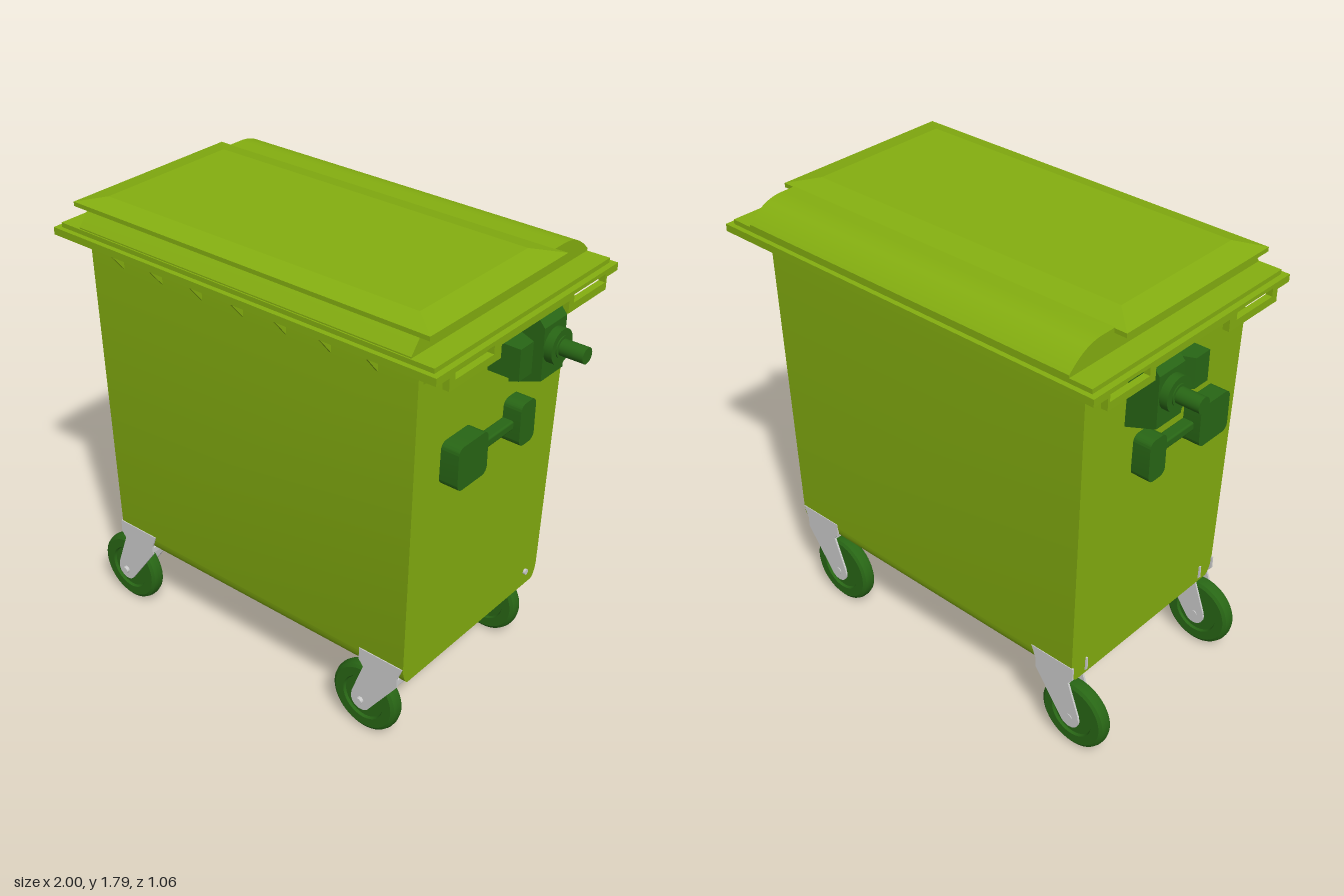
import * as THREE from 'three';
import { RoundedBoxGeometry } from 'three/addons/geometries/RoundedBoxGeometry.js';
import { toCreasedNormals } from 'three/addons/utils/BufferGeometryUtils.js';

const lime = new THREE.MeshStandardMaterial({ color: 0x84ae10 });
const green = new THREE.MeshStandardMaterial({ color: 0x286615 });
const grey = new THREE.MeshStandardMaterial({ color: 0xcccccc });

function add(parent, name, geometry, material, x = 0, y = 0, z = 0) {
  const mesh = new THREE.Mesh(geometry, material);
  mesh.name = name;
  mesh.position.set(x, y, z);
  parent.add(mesh);
  return mesh;
}

// Box given by its minimum and maximum corners
function addBox(parent, name, material, [x0, y0, z0], [x1, y1, z1]) {
  const g = new THREE.BoxGeometry(x1 - x0, y1 - y0, z1 - z0);
  return add(parent, name, g, material, (x0 + x1) / 2, (y0 + y1) / 2, (z0 + z1) / 2);
}

const toShape = (pts) => new THREE.Shape(pts.map(([a, b]) => new THREE.Vector2(a, b)));
const flat = (shape, depth) =>
  new THREE.ExtrudeGeometry(shape, { depth, bevelEnabled: false, curveSegments: 16 }).translate(0, 0, -depth / 2);
// Side profile in (z, y), extruded across x and centred on x = 0
const sideways = (shape, width) => flat(shape, width).rotateY(-Math.PI / 2);

const halfWidth = (y) => 0.717 + 0.033 * (y - 0.32) / 1.34;
const frontZ = (y) => 0.45 + 0.01 * (y - 0.38) / 1.28;
const backZ = (y) => -0.405 - 0.02 * (y - 0.38) / 1.28;

function buildBody(root) {
  // Tapered tub with rounded lower edges
  const s = new THREE.Shape();
  s.moveTo(-0.375, 0.315);
  s.lineTo(0.42, 0.315);
  s.quadraticCurveTo(0.44, 0.325, 0.45, 0.38);
  s.lineTo(frontZ(1.66), 1.66);
  s.lineTo(backZ(1.66), 1.66);
  s.lineTo(-0.405, 0.38);
  s.quadraticCurveTo(-0.4, 0.325, -0.375, 0.315);
  let g = sideways(s, 2);
  const p = g.attributes.position;
  for (let i = 0; i < p.count; i++) p.setX(i, p.getX(i) * halfWidth(p.getY(i)));
  add(root, 'body', toCreasedNormals(g, 0.6), lime);
  // Drain bolt
  add(root, 'drainBolt', new THREE.CylinderGeometry(0.012, 0.012, 0.012, 12).rotateZ(Math.PI / 2), grey, 0.722, 0.38, -0.325);
}

function buildRim(root) {
  const rim = new THREE.Group();
  rim.name = 'rim';
  root.add(rim);
  addBox(rim, 'rimPlate', lime, [-0.865, 1.658, -0.53], [0.865, 1.672, 0.53]);
  addBox(rim, 'rimStep', lime, [-0.842, 1.672, -0.51], [0.842, 1.69, 0.51]);
  for (const s of [-1, 1]) addBox(rim, 'rimSkirt', lime, [-0.84, 1.643, s * 0.522 - 0.008], [0.84, 1.66, s * 0.522 + 0.008]);

  // Side skirts with slotted hand grips
  const skirt = toShape([[-0.53, 1.643], [-0.46, 1.643], [-0.46, 1.595], [-0.22, 1.595], [-0.22, 1.643],
    [0.18, 1.643], [0.18, 1.595], [0.46, 1.595], [0.46, 1.643], [0.53, 1.643], [0.53, 1.672], [-0.53, 1.672]]);
  for (const [a, b] of [[-0.45, -0.25], [0.22, 0.43]]) {
    skirt.holes.push(new THREE.Path([[a, 1.625], [a, 1.657], [b, 1.657], [b, 1.625]].map((q) => new THREE.Vector2(...q))));
  }
  for (const s of [-1, 1]) add(rim, 'handGrip', sideways(skirt, 0.026), lime, s * 0.852);

  // Triangular ribs under the rim, front, back and sides
  const rib = (d) => flat(toShape([[-0.01, 1.56], [0, 1.565], [d, 1.645], [d, 1.66], [-0.01, 1.66]]), 0.008);
  for (let i = -3; i <= 3; i++) {
    add(rim, 'frontRib', rib(0.065).rotateY(-Math.PI / 2), lime, i * 0.194, 0, 0.459);
    add(rim, 'backRib', rib(0.095).rotateY(Math.PI / 2), lime, i * 0.194, 0, -0.423);
  }
  for (const z of [0.43, 0.21, -0.235, -0.4]) {
    add(rim, 'leftRib', rib(0.09), lime, 0.748, 0, z);
    add(rim, 'rightRib', rib(0.09).rotateY(Math.PI), lime, -0.748, 0, z);
  }
}

function buildLid(root) {
  const lid = new THREE.Group();
  lid.name = 'lid';
  root.add(lid);
  // Lower lid with the rounded hinge side
  const s = new THREE.Shape();
  s.moveTo(-0.51, 1.685);
  s.lineTo(0.505, 1.685);
  s.lineTo(0.505, 1.695);
  s.lineTo(0.455, 1.757);
  s.lineTo(0.44, 1.774);
  s.lineTo(-0.35, 1.774);
  s.bezierCurveTo(-0.42, 1.774, -0.465, 1.745, -0.51, 1.7);
  add(lid, 'lidBase', toCreasedNormals(sideways(s, 1.5), 0.4), lime);
  // Overhanging top panel with sloped borders
  addBox(lid, 'lidEdge', lime, [-0.8, 1.756, -0.295], [0.8, 1.773, 0.48]);
  const g = new THREE.BoxGeometry(1.6, 0.022, 0.775);
  const p = g.attributes.position;
  for (let i = 0; i < p.count; i++) {
    if (p.getY(i) > 0) p.setXYZ(i, Math.sign(p.getX(i)) * 0.7, 0.011, p.getZ(i) > 0 ? 0.3075 : -0.2925);
  }
  g.computeVertexNormals();
  add(lid, 'lidTop', g, lime, 0, 1.784, 0.0925);
}

// Lifting pin and latch, built for the +x side
function buildSideFittings(root, side) {
  const fit = new THREE.Group();
  fit.name = side > 0 ? 'leftFittings' : 'rightFittings';
  root.add(fit);
  // On the -x side the outlines are mirrored before extruding
  const outline = (pts) => toShape(pts.map(([a, b]) => [a * side, b]));
  add(fit, 'pinBracket', flat(outline([[0.73, 1.352], [0.748, 1.355], [0.87, 1.4], [0.87, 1.6], [0.835, 1.64], [0.73, 1.64]]), 0.135), green, 0, 0, -0.137);
  const arm = flat(outline([[0.73, 0.07], [0.73, -0.05], [0.77, -0.05], [0.87, -0.005], [0.87, 0.07]]), 0.12).rotateX(Math.PI / 2);
  add(fit, 'bracketArm', arm, green, 0, 1.52, 0);
  for (const [name, r, x0, x1] of [['pinFlange', 0.065, 0.86, 0.902], ['pinCollar', 0.04, 0.9, 0.906], ['liftingPin', 0.03, 0.9, 1]]) {
    add(fit, name, new THREE.CylinderGeometry(r, r, x1 - x0, 32).rotateZ(Math.PI / 2), green, side * (x0 + x1) / 2, 1.517, -0.135);
  }
  // Pads joined by a bar
  for (const [z0, z1] of [[0.14, 0.31], [-0.147, -0.055]]) {
    const w = z1 - z0, h = 0.17, r = 0.028;
    const s = new THREE.Shape();
    s.absarc(w / 2 - r, h / 2 - r, r, 0, Math.PI / 2);
    s.absarc(-w / 2 + r, h / 2 - r, r, Math.PI / 2, Math.PI);
    s.absarc(-w / 2 + r, -h / 2 + r, r, Math.PI, Math.PI * 1.5);
    s.absarc(w / 2 - r, -h / 2 + r, r, Math.PI * 1.5, Math.PI * 2);
    add(fit, 'latchPad', toCreasedNormals(sideways(s, 0.09), 0.6), green, side * 0.768, 1.202, (z0 + z1) / 2);
  }
  add(fit, 'latchBar', new RoundedBoxGeometry(0.05, 0.036, 0.22, 2, 0.008), green, side * 0.76, 1.198, 0.043);
}

function buildCaster(root, name, x, z) {
  const caster = new THREE.Group();
  caster.name = name;
  caster.position.set(x, 0.147, z);
  root.add(caster);
  // Tyre with a recessed disc on both faces
  const half = [[0, 0.02], [0.088, 0.02], [0.093, 0.03], [0.13, 0.03], [0.142, 0.022], [0.147, 0.008]];
  const profile = [...half.map(([r, h]) => [r, -h]), ...half.reverse()].map((q) => new THREE.Vector2(...q));
  const wheel = new THREE.LatheGeometry(profile, 48).rotateX(Math.PI / 2);
  add(caster, 'wheel', toCreasedNormals(wheel, 0.5), green);
  // Fork plates, trailing towards -x
  const s = new THREE.Shape();
  s.moveTo(-0.01, 0.243);
  s.lineTo(-0.01, 0.19);
  s.lineTo(0.01, 0.165);
  s.lineTo(-0.043, 0.02);
  s.absarc(0, 0, 0.045, Math.PI * 0.88, Math.PI * 1.82);
  s.lineTo(0.165, 0.15);
  s.lineTo(0.165, 0.19);
  s.lineTo(0.187, 0.243);
  for (const k of [-1, 1]) add(caster, 'forkPlate', flat(s, 0.008), grey, 0, 0, k * 0.04);
  addBox(caster, 'forkCrown', grey, [0.01, 0.158, -0.04], [0.165, 0.18, 0.04]);
  // Axle with bolt head on the +z end
  add(caster, 'axle', new THREE.CylinderGeometry(0.015, 0.015, 0.105, 16).rotateX(Math.PI / 2), grey, 0, 0, 0.006);
}

export function createModel() {
  const root = new THREE.Group();
  root.name = 'wheeledBin';
  buildBody(root);
  buildRim(root);
  buildLid(root);
  for (const side of [1, -1]) buildSideFittings(root, side);
  for (const [end, z] of [['front', 0.41], ['back', -0.364]]) {
    buildCaster(root, end + 'RightCaster', -0.715, z);
    buildCaster(root, end + 'LeftCaster', 0.53, z);
  }
  return root;
}
